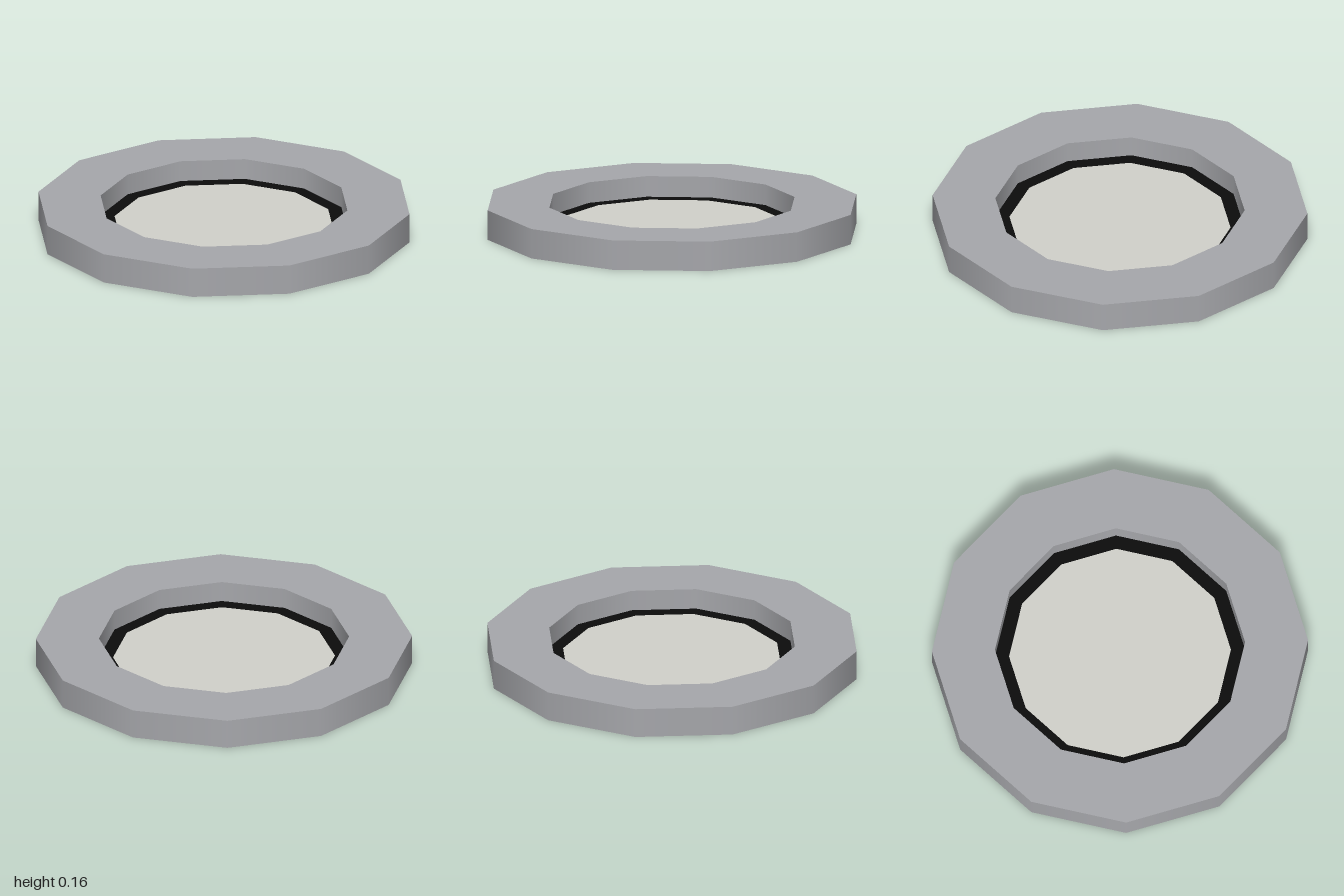
import * as THREE from 'three';
import { mergeGeometries } from 'three/addons/utils/BufferGeometryUtils.js';

const SIDES = 12;
const OUTER = 1, INNER = 0.665, PANE = 0.59;
const HEIGHT = 0.16, PANE_Y = 0.048;

// One band of a turned profile; separate bands keep the edges between them sharp
function band([r0, y0], [r1, y1]) {
  return new THREE.LatheGeometry([new THREE.Vector2(r0, y0), new THREE.Vector2(r1, y1)], SIDES);
}

export function createModel() {
  const frameGrey = new THREE.MeshStandardMaterial({ color: 0xa6a7ab });
  frameGrey.name = 'frameGrey';
  const sealBlack = new THREE.MeshStandardMaterial({ color: 0x0c0c0c, side: THREE.DoubleSide });
  sealBlack.name = 'sealBlack';
  const paneGrey = new THREE.MeshStandardMaterial({ color: 0xd1d1cb, side: THREE.DoubleSide });
  paneGrey.name = 'paneGrey';

  const group = new THREE.Group();
  group.name = 'roundWindow';
  const add = (name, geometry, material) => {
    const mesh = new THREE.Mesh(geometry, material);
    mesh.name = name;
    group.add(mesh);
  };

  // Frame: outer wall, top, inner wall and underside
  const profile = [[OUTER, 0], [OUTER, HEIGHT], [INNER, HEIGHT], [INNER, 0]];
  add('frame', mergeGeometries(profile.map((p, i) => band(p, profile[(i + 1) % 4]))), frameGrey);

  // Thin seal around the pane
  add('seal', band([INNER, PANE_Y], [PANE, PANE_Y]), sealBlack);

  // Pane set low inside the frame
  const pane = new THREE.CircleGeometry(PANE, SIDES).rotateX(-Math.PI / 2).translate(0, PANE_Y, 0);
  add('pane', pane, paneGrey);

  return group;
}
